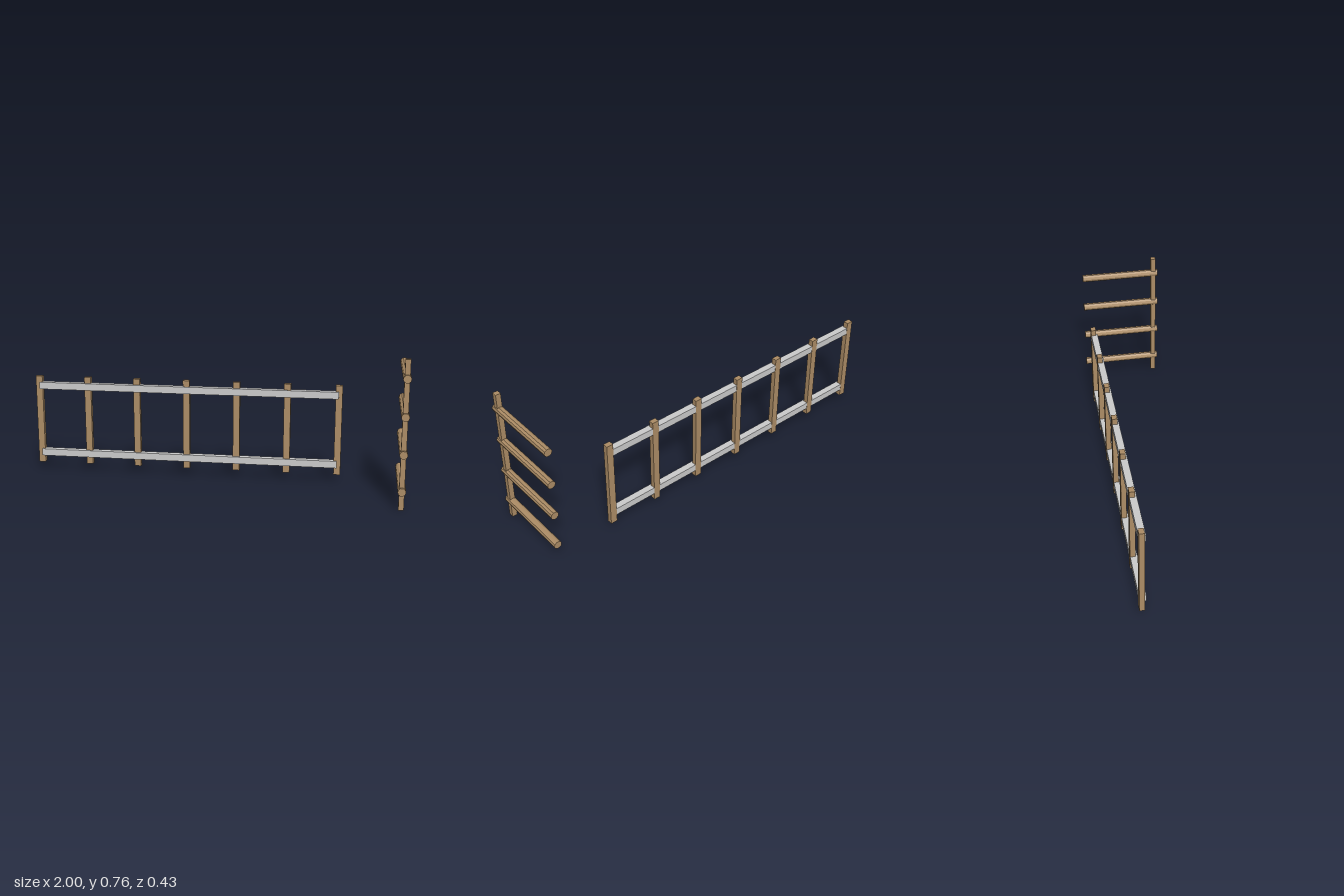
import * as THREE from 'three';

const wood = new THREE.MeshStandardMaterial({ color: 0xad8d66, flatShading: true });
const grey = new THREE.MeshStandardMaterial({ color: 0xcccccc, flatShading: true });

// Box given by its low and high corners
function box(name, material, [x0, y0, z0], [x1, y1, z1]) {
  const mesh = new THREE.Mesh(new THREE.BoxGeometry(x1 - x0, y1 - y0, z1 - z0), material);
  mesh.position.set((x0 + x1) / 2, (y0 + y1) / 2, (z0 + z1) / 2);
  mesh.name = name;
  return mesh;
}

export function createModel() {
  const model = new THREE.Group();
  model.name = 'fenceParts';

  // Long fence: seven posts joined by two rails
  const fence = new THREE.Group();
  fence.name = 'fence';
  for (let i = 0; i < 7; i++) {
    const x = -0.982 + i * 0.272;
    fence.add(box('fencePost', wood, [x - 0.018, 0.042, -0.217], [x + 0.018, 0.531, -0.19]));
  }
  for (const y of [0.1, 0.479]) {
    fence.add(box('fenceRail', grey, [-0.978, y - 0.019, -0.216], [0.648, y + 0.019, -0.181]));
  }
  model.add(fence);

  // Side rack: one upright carrying four round bars
  const rack = new THREE.Group();
  rack.name = 'sideRack';
  rack.add(box('upright', wood, [0.9655, 0, 0.178], [0.9925, 0.761, 0.205]));
  const barGeometry = new THREE.CylinderGeometry(0.021, 0.021, 0.434, 10, 1, false, Math.PI / 2);
  barGeometry.rotateX(Math.PI / 2);
  for (let i = 0; i < 4; i++) {
    const bar = new THREE.Mesh(barGeometry, wood);
    bar.position.set(0.979, 0.097 + i * 0.19, 0);
    bar.name = 'roundBar';
    rack.add(bar);
  }
  model.add(rack);

  return model;
}
